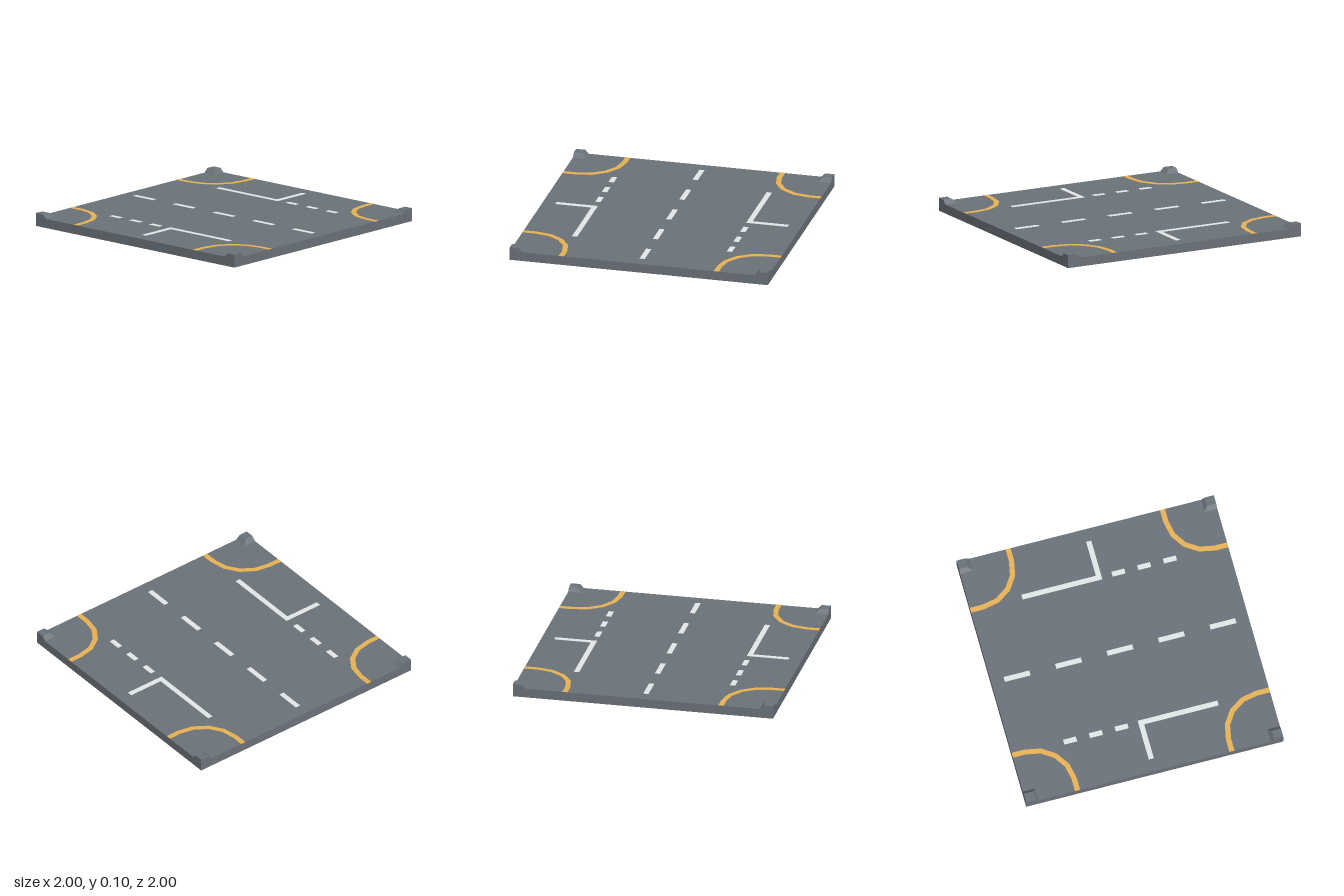
import * as THREE from 'three';

const DECK = 0.07, PAINT = 0.002, LINE = 0.04;

export function createModel() {
  const model = new THREE.Group();
  const mat = (name, color) => {
    const m = new THREE.MeshStandardMaterial({ color });
    m.name = name;
    return m;
  };
  const asphalt = mat('asphalt grey', 0x6a7178);
  const white = mat('line white', 0xe6ebec);
  const amber = mat('curve amber', 0xefb758);

  const add = (parent, name, geometry, material) => {
    const mesh = new THREE.Mesh(geometry, material);
    mesh.name = name;
    parent.add(mesh);
    return mesh;
  };

  // Road slab
  add(model, 'roadSlab', new THREE.BoxGeometry(2, DECK, 2).translate(0, DECK / 2, 0), asphalt);

  // Painted rectangle given by its x and z ranges
  const stripe = (parent, name, x0, x1, z0, z1) => {
    const g = new THREE.BoxGeometry(x1 - x0, PAINT, z1 - z0);
    g.translate((x0 + x1) / 2, DECK + PAINT / 2, (z0 + z1) / 2);
    add(parent, name, g, white);
  };
  const h = LINE / 2;

  // Dashed centre line
  for (let i = 0; i < 5; i++) {
    const z = -0.8 + i * 0.4;
    stripe(model, 'centreDash', -h, h, z - 0.1, z + 0.1);
  }

  // Side lane markings, repeated by a half turn
  for (let i = 0; i < 2; i++) {
    const lane = new THREE.Group();
    lane.name = i ? 'rightLaneMarkings' : 'leftLaneMarkings';
    lane.rotation.y = i * Math.PI;
    stripe(lane, 'solidLine', 0.6 - h, 0.6 + h, -0.6, h);
    stripe(lane, 'stopLine', 0.6 + h, 0.9, -h, h);
    for (let k = 0; k < 3; k++) {
      stripe(lane, 'shortDash', 0.6 - h, 0.6 + h, 0.1 + k * 0.2, 0.2 + k * 0.2);
    }
    model.add(lane);
  }

  // Curved corner line: two straight ends joined by a four-segment arc
  const edge = (r) => {
    const pts = [new THREE.Vector2(0.9 - r, 1)];
    for (let k = 0; k <= 4; k++) {
      const a = Math.PI + (k * Math.PI) / 8;
      pts.push(new THREE.Vector2(0.9 + r * Math.cos(a), 0.9 + r * Math.sin(a)));
    }
    pts.push(new THREE.Vector2(1, 0.9 - r));
    return pts;
  };
  const curveShape = new THREE.Shape([...edge(0.3 + h), ...edge(0.3 - h).reverse()]);
  const curve = new THREE.ExtrudeGeometry(curveShape, { depth: PAINT, bevelEnabled: false });
  curve.rotateX(-Math.PI / 2).translate(0, DECK, 0);

  // Corner block with its two inner sides sloped
  const block = new THREE.BoxGeometry(0.1, 0.03, 0.1).translate(0.95, DECK + 0.015, -0.95);
  const p = block.attributes.position;
  for (let i = 0; i < p.count; i++) {
    if (p.getY(i) < DECK + 0.015) continue;
    if (p.getX(i) < 0.95) p.setX(i, 0.93);
    if (p.getZ(i) > -0.95) p.setZ(i, -0.93);
  }
  const cornerBlock = block.toNonIndexed();
  cornerBlock.computeVertexNormals();

  for (let i = 0; i < 4; i++) {
    const corner = new THREE.Group();
    corner.name = 'corner';
    corner.rotation.y = (i * Math.PI) / 2;
    add(corner, 'curvedLine', curve, amber);
    add(corner, 'cornerBlock', cornerBlock, asphalt);
    model.add(corner);
  }
  return model;
}
